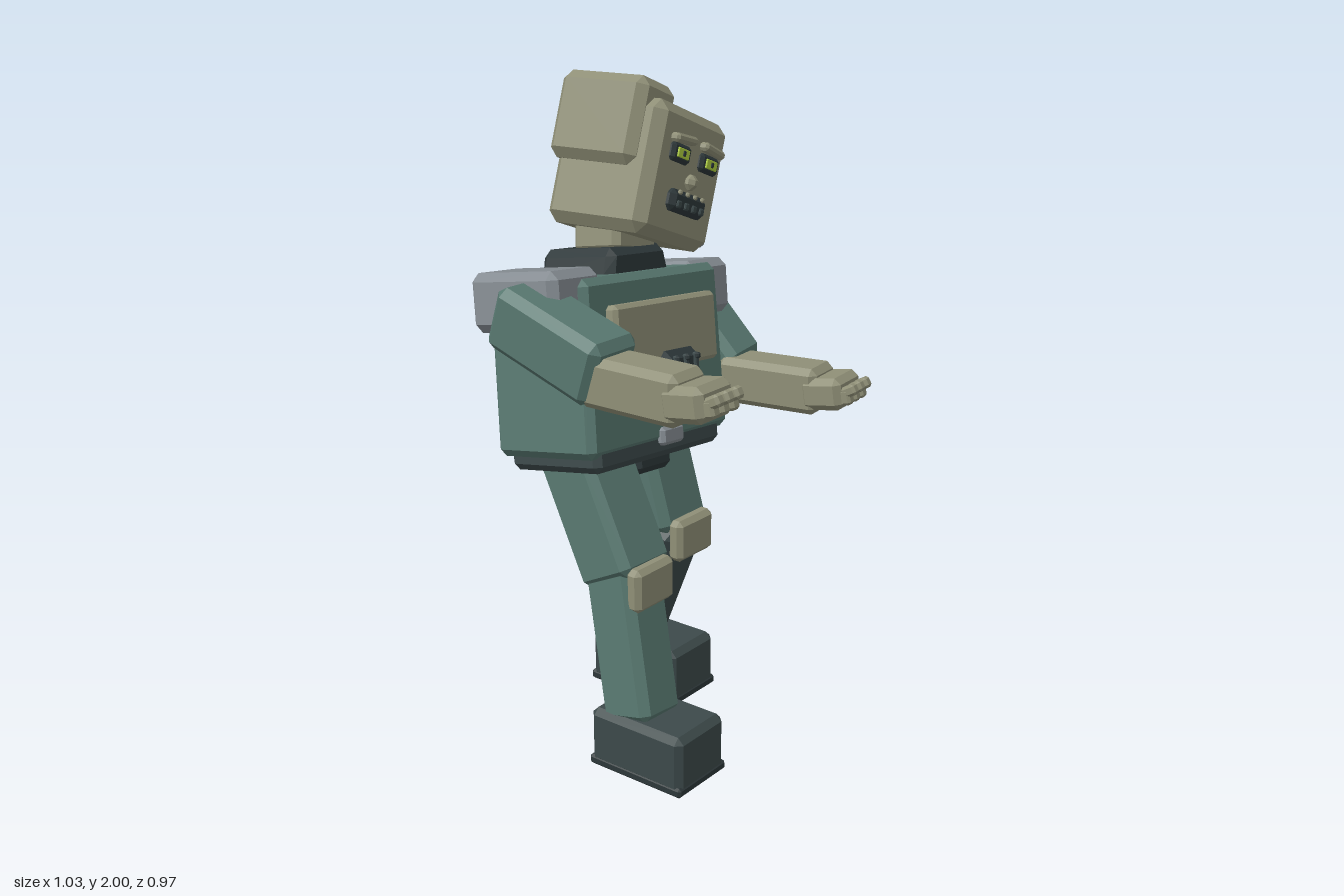
import * as THREE from 'three';
import { ConvexGeometry } from 'three/addons/geometries/ConvexGeometry.js';

const mat = (name, color) => Object.assign(new THREE.MeshStandardMaterial({ color }), { name });
const V = (x, y, z) => new THREE.Vector3(x, y, z);

// Box with flat chamfered edges; top narrows the upper end in x
function chamferBox(w, h, d, b, top = 1) {
  const pts = [];
  for (const sx of [-1, 1]) for (const sy of [-1, 1]) for (const sz of [-1, 1]) {
    const k = sy > 0 ? top : 1;
    const X = w / 2, Y = h / 2, Z = d / 2;
    pts.push(V(sx * X * k, sy * (Y - b), sz * (Z - b)));
    pts.push(V(sx * (X - b) * k, sy * Y, sz * (Z - b)));
    pts.push(V(sx * (X - b) * k, sy * (Y - b), sz * Z));
  }
  return new ConvexGeometry(pts);
}

export function createModel() {
  const teal = mat('teal', 0x587870);
  const dark = mat('darkSlate', 0x3c494a);
  const black = mat('charcoal', 0x2d3739);
  const khaki = mat('khaki', 0x8f8f77);
  const grey = mat('grey', 0x858c92);
  const green = mat('eyeGreen', 0xb0d040);

  const model = new THREE.Group();
  model.name = 'robot';

  function group(name, parent, pos, rot = [0, 0, 0]) {
    const g = new THREE.Group();
    g.name = name;
    g.position.set(...pos);
    g.rotation.set(...rot);
    parent.add(g);
    return g;
  }
  function box(name, parent, m, size, pos, b = 0.02, rot = [0, 0, 0], top = 1) {
    const mesh = new THREE.Mesh(chamferBox(...size, b, top), m);
    mesh.name = name;
    mesh.position.set(...pos);
    mesh.rotation.set(...rot);
    parent.add(mesh);
    return mesh;
  }
  // Box running from point a to point c, kept square to the x axis
  function limb(name, parent, m, w, t, a, c, b = 0.02) {
    const A = V(...a), C = V(...c);
    const z = C.clone().sub(A), len = z.length();
    z.normalize();
    const x = V(1, 0, 0).addScaledVector(z, -z.x).normalize();
    const y = z.clone().cross(x);
    const mesh = box(name, parent, m, [w, t, len], [0, 0, 0], b);
    mesh.quaternion.setFromRotationMatrix(new THREE.Matrix4().makeBasis(x, y, z));
    mesh.position.copy(A.add(C).multiplyScalar(0.5));
    return mesh;
  }

  // Torso, leaning back and to one side
  const torso = group('torso', model, [-0.015, 1.174, -0.257], [-0.155, 0.06, -0.105]);
  box('chest', torso, teal, [0.69, 0.51, 0.36], [0, 0, 0], 0.022, [0, 0, 0], 0.96);
  box('pelvis', torso, dark, [0.62, 0.12, 0.33], [0, -0.24, 0.005], 0.02);
  box('crotch', torso, black, [0.18, 0.1, 0.2], [0.03, -0.3, 0.02], 0.02);
  box('buckle', torso, grey, [0.11, 0.055, 0.03], [0.03, -0.235, 0.18], 0.01);
  box('chestPlate', torso, khaki, [0.5, 0.205, 0.06], [0.01, 0.07, 0.185], 0.012);
  box('collar', torso, black, [0.3, 0.1, 0.27], [0.0, 0.28, 0], 0.025, [0, 0, 0], 0.9);
  box('neck', torso, khaki, [0.2, 0.13, 0.17], [0.02, 0.37, 0.03], 0.02, [0, 0, -0.1]);

  // Chest vent with ribs and studs
  box('vent', torso, black, [0.18, 0.1, 0.09], [0.04, -0.03, 0.2], 0.025);
  for (const i of [-1, 0, 1]) {
    box('ventRib', torso, dark, [0.02, 0.07, 0.014], [0.04 + i * 0.05, -0.03, 0.246], 0.004);
    box('ventStud', torso, black, [0.018, 0.018, 0.02], [0.04 + i * 0.05, -0.005, 0.252], 0.005);
  }
  for (const s of [-1, 1])
    box('shoulderPad', torso, grey, [0.22, 0.17, 0.315], [s * 0.325, s < 0 ? 0.2 : 0.18, 0], 0.025);

  // Head, tilted sideways
  const head = group('head', model, [0.155, 1.7, -0.285], [0, 0.08, -0.355]);
  box('skull', head, khaki, [0.39, 0.39, 0.35], [0, 0, 0], 0.032);
  box('crest', head, khaki, [0.19, 0.26, 0.305], [-0.13, 0.12, -0.035], 0.028);
  box('jawPlate', head, grey, [0.065, 0.075, 0.14], [0.165, -0.14, 0.09], 0.012);
  for (const s of [-1, 1]) {
    const x = 0.01 + s * 0.08;
    box('eyeSocket', head, black, [0.1, 0.055, 0.03], [x, 0.06, 0.175], 0.01);
    box('eye', head, green, [0.06, 0.028, 0.008], [x, 0.06, 0.191], 0.002);
    box('pupil', head, black, [0.014, 0.016, 0.006], [x, 0.06, 0.195], 0.002);
    box('brow', head, khaki, [0.11, 0.026, 0.045], [x, 0.102, 0.18], 0.008, [0, 0, -s * 0.08]);
  }
  box('nose', head, khaki, [0.045, 0.045, 0.04], [0.008, -0.01, 0.185], 0.015);
  box('mouth', head, black, [0.19, 0.065, 0.045], [0.005, -0.075, 0.178], 0.016);
  for (let i = 0; i < 4; i++) {
    const x = 0.005 + (i - 1.5) * 0.042;
    box('tooth', head, khaki, [0.016, 0.014, 0.012], [x, -0.05, 0.198], 0.004);
    box('mouthRib', head, dark, [0.024, 0.022, 0.012], [x, -0.085, 0.2], 0.004);
  }

  // Arms: shoulder, elbow end, forearm start and wrist points
  const arms = [
    { side: 'right', w: 0.19, a: [-0.412, 1.4, -0.28], b: [-0.412, 1.28, 0.085],
      c: [-0.417, 1.265, 0.02], d: [-0.417, 1.265, 0.355], yaw: 0 },
    { side: 'left', w: 0.17, a: [0.41, 1.29, -0.35], b: [0.442, 1.045, -0.135],
      c: [0.405, 1.04, -0.13], d: [0.44, 1.05, 0.215], yaw: 0.09 },
  ];
  for (const arm of arms) {
    const g = group(arm.side + 'Arm', model, [0, 0, 0]);
    limb('upperArm', g, teal, arm.w, 0.19, arm.a, arm.b, 0.025);
    limb('forearm', g, khaki, 0.145, 0.145, arm.c, arm.d, 0.02);
    // Hand with three fingers curling upward
    const hand = group('hand', g, arm.d, [0, arm.yaw, 0]);
    box('palm', hand, khaki, [0.155, 0.1, 0.14], [0, 0.0, 0.018], 0.02, [-0.15, 0, 0]);
    for (const i of [-1, 0, 1]) {
      box('knuckle', hand, khaki, [0.036, 0.05, 0.05], [i * 0.042, 0.0, 0.088], 0.008, [-0.25, 0, 0]);
      box('fingertip', hand, khaki, [0.034, 0.035, 0.05], [i * 0.042, 0.022, 0.105], 0.008, [-0.5, 0, 0]);
    }
  }

  // Legs: hip, knee end, shin start, ankle, and foot centre
  const legs = [
    { side: 'right', shin: teal, hip: [-0.185, 0.95, -0.235], knee: [-0.195, 0.58, -0.05],
      top: [-0.2, 0.63, -0.07], ankle: [-0.24, 0.16, 0.038], t: 0.18,
      pad: [-0.2, 0.577, 0.038], foot: [-0.23, 0.085] },
    { side: 'left', shin: dark, hip: [0.15, 0.95, -0.29], knee: [0.168, 0.585, -0.2],
      top: [0.165, 0.63, -0.165], ankle: [0.187, 0.16, -0.365], t: 0.17,
      pad: [0.163, 0.58, -0.092], foot: [0.19, -0.27] },
  ];
  for (const leg of legs) {
    const g = group(leg.side + 'Leg', model, [0, 0, 0]);
    limb('thigh', g, teal, 0.215, 0.205, leg.hip, leg.knee, 0.025);
    limb('shin', g, leg.shin, leg.side === 'right' ? 0.175 : 0.195, leg.t, leg.top, leg.ankle, 0.025);
    box('kneePad', g, khaki, [0.175, 0.135, 0.055], leg.pad, 0.016);
    box('foot', g, dark, [0.222, 0.18, 0.342], [leg.foot[0], 0.098, leg.foot[1]], 0.02);
    box('sole', g, black, [0.226, 0.032, 0.346], [leg.foot[0], 0.016, leg.foot[1]], 0.008);
  }
  return model;
}
